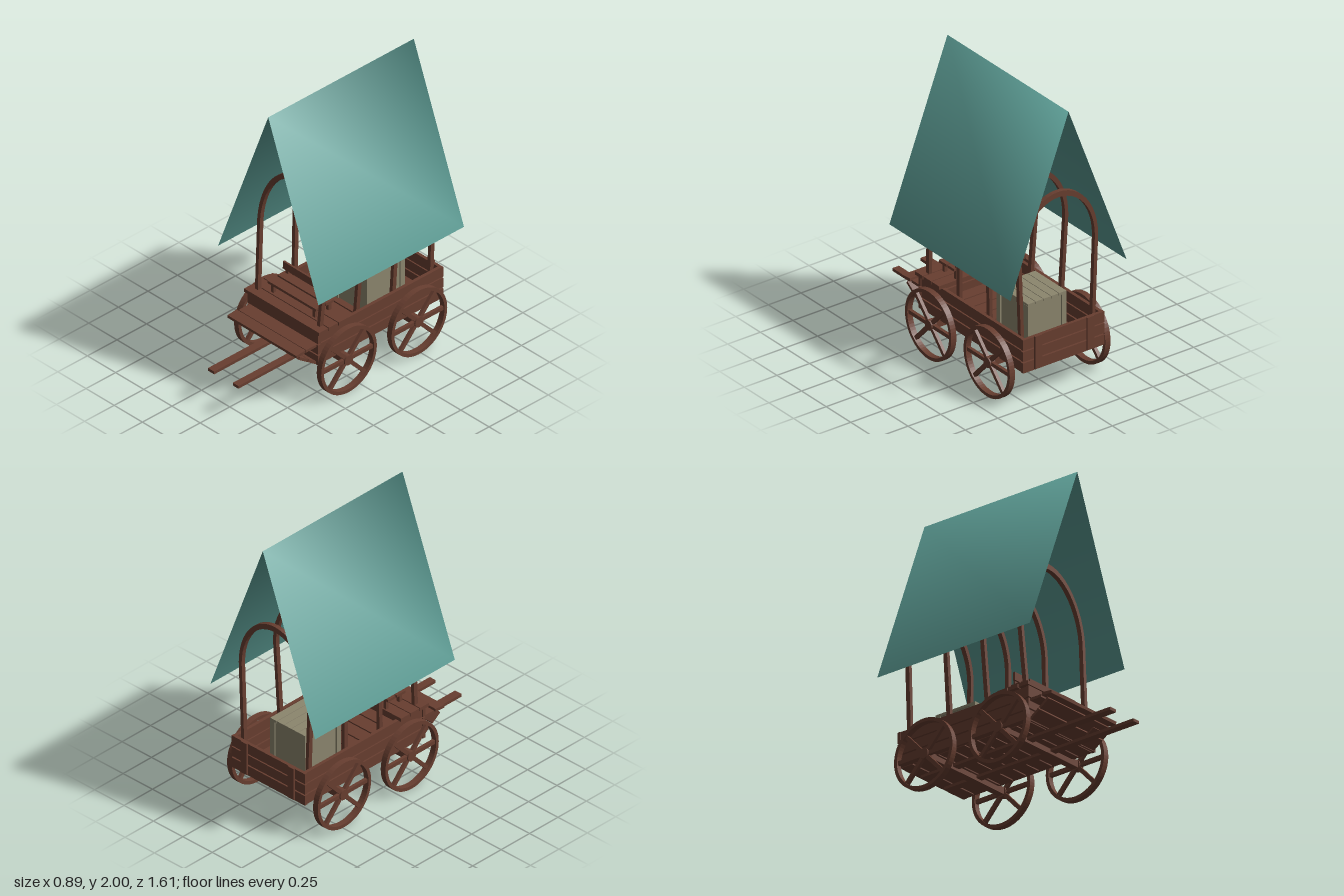
import * as THREE from 'three';

const wood = new THREE.MeshStandardMaterial({ color: 0x683e30 });
wood.name = 'brown wood';
const cloth = new THREE.MeshStandardMaterial({ color: 0x5c9c94, side: THREE.DoubleSide });
cloth.name = 'teal canvas';
const crateWood = new THREE.MeshStandardMaterial({ color: 0x8c866e });
crateWood.name = 'pale crate wood';

// Box given by its extents on each axis
function board(parent, name, [x0, x1], [y0, y1], [z0, z1], mat = wood) {
  const mesh = new THREE.Mesh(new THREE.BoxGeometry(x1 - x0, y1 - y0, z1 - z0), mat);
  mesh.position.set((x0 + x1) / 2, (y0 + y1) / 2, (z0 + z1) / 2);
  mesh.name = name;
  parent.add(mesh);
  return mesh;
}

// Rim, spokes and hub, turned so the axle runs along x
function makeWheel() {
  const wheel = new THREE.Group();
  wheel.name = 'wheel';
  const ring = new THREE.Shape().absarc(0, 0, 0.235, 0, Math.PI * 2, false);
  ring.holes.push(new THREE.Path().absarc(0, 0, 0.212, 0, Math.PI * 2, true));
  const rimGeo = new THREE.ExtrudeGeometry(ring, { depth: 0.04, bevelEnabled: false, curveSegments: 32 });
  rimGeo.translate(0, 0, -0.02).rotateY(Math.PI / 2);
  const rim = new THREE.Mesh(rimGeo, wood);
  rim.name = 'rim';
  wheel.add(rim);
  for (const deg of [0, 47, 133, 180, 227, 313]) {
    const geo = new THREE.BoxGeometry(0.022, 0.026, 0.2).translate(0, 0, 0.117);
    const spoke = new THREE.Mesh(geo, wood);
    spoke.rotation.x = THREE.MathUtils.degToRad(deg);
    spoke.name = 'spoke';
    wheel.add(spoke);
  }
  const hub = new THREE.Mesh(new THREE.CylinderGeometry(0.036, 0.036, 0.04, 12).rotateZ(Math.PI / 2), wood);
  hub.name = 'hub';
  wheel.add(hub);
  return wheel;
}

// Bent hoop, straight legs with an elliptical top
function makeBow(top) {
  const outline = (inset, crown) => {
    const pts = [[-0.278 + inset, 0.26]];
    for (let i = 0; i <= 24; i++) {
      const a = Math.PI * (1 - i / 24);
      pts.push([(0.306 - inset) * Math.cos(a), 1 + (crown - 1) * Math.sin(a)]);
    }
    pts.push([0.278 - inset, 0.26]);
    return pts.map(([x, y]) => new THREE.Vector2(x, y - 0.49));
  };
  const shape = new THREE.Shape([...outline(0, top), ...outline(0.025, top - 0.038).reverse()]);
  const geo = new THREE.ExtrudeGeometry(shape, { depth: 0.03, bevelEnabled: false });
  const bow = new THREE.Mesh(geo.translate(0, 0, -0.015), wood);
  bow.name = 'canopyBow';
  return bow;
}

function makeCanopy() {
  const geo = new THREE.BufferGeometry();
  const pos = [];
  for (const z of [0.425, -0.805]) pos.push(-0.445, 0.825, z, 0, 2, z, 0.445, 0.825, z);
  geo.setAttribute('position', new THREE.Float32BufferAttribute(pos, 3));
  geo.setIndex([0, 1, 4, 0, 4, 3, 1, 2, 5, 1, 5, 4]);
  geo.computeVertexNormals();
  const canopy = new THREE.Mesh(geo, cloth);
  canopy.name = 'canopy';
  return canopy;
}

export function createModel() {
  const wagon = new THREE.Group();
  wagon.name = 'coveredWagon';

  // Running gear
  for (const z of [0.11, -0.485]) {
    board(wagon, 'axle', [-0.35, 0.35], [0.215, 0.262], [z - 0.025, z + 0.025]);
    for (const side of [-1, 1]) {
      const wheel = makeWheel();
      wheel.position.set(side * 0.366, 0.239, z);
      wagon.add(wheel);
    }
  }
  board(wagon, 'shaft', [-0.135, -0.08], [0.232, 0.252], [-0.72, 0.805]);
  board(wagon, 'shaft', [0.085, 0.135], [0.232, 0.252], [-0.72, 0.805]);

  // Floor planks laid across the bed
  for (let i = 0; i < 10; i++) {
    const z = 0.29 - i * 0.105;
    board(wagon, 'floorPlank', [-0.29, 0.29], [0.25, 0.272], [z - 0.095, z]);
  }

  // Side, front and tail planks
  const rows = [[0.255, 0.325], [0.335, 0.403], [0.412, 0.485]];
  rows.forEach((y, i) => {
    const end = -0.745 - i * 0.006;
    for (const side of [-1, 1]) {
      const xs = [side * 0.285, side * 0.308].sort((a, b) => a - b);
      board(wagon, 'sidePlank', xs, y, [end, 0.3]);
    }
    board(wagon, 'tailPlank', [-0.312, 0.312], y, [-0.757, -0.735]);
    board(wagon, 'frontPlank', [-0.314, 0.314], y, [0.28, 0.303]);
  });
  for (const x of [-0.2, 0.2]) {
    board(wagon, 'tailBrace', [x - 0.027, x + 0.027], [0.262, 0.488], [-0.768, -0.757]);
  }

  // Driver's deck
  for (let i = 0; i < 3; i++) {
    const z = 0.312 - i * 0.083;
    board(wagon, 'deckPlank', [-0.333, 0.333], [0.486, 0.51], [z - 0.077, z]);
  }

  // Footboard with sloping planks beneath
  board(wagon, 'footboard', [-0.305, 0.305], [0.388, 0.408], [0.40, 0.478]).rotation.x = 0.08;
  board(wagon, 'footboard', [-0.3, 0.3], [0.386, 0.404], [0.3, 0.39]);
  for (const [y, z] of [[0.342, 0.41], [0.29, 0.335]]) {
    const plank = board(wagon, 'toePlank', [-0.297, 0.297], [y - 0.009, y + 0.009], [z - 0.042, z + 0.042]);
    plank.rotation.x = -0.61;
  }
  const brace = board(wagon, 'toeBrace', [0.155, 0.21], [0.296, 0.31], [0.32, 0.43]);
  brace.rotation.x = -0.61;

  // Bench
  board(wagon, 'benchPlank', [-0.215, 0.215], [0.572, 0.59], [0.075, 0.142]);
  board(wagon, 'benchPlank', [-0.215, 0.215], [0.57, 0.588], [0.152, 0.228]);
  for (const x of [-0.185, 0.185]) {
    for (const z of [0.09, 0.205]) {
      board(wagon, 'benchLeg', [x - 0.011, x + 0.011], [0.505, 0.575], [z - 0.011, z + 0.011]);
    }
    board(wagon, 'backrestPost', [x - 0.011, x + 0.011], [0.58, 0.65], [0.079, 0.091]);
  }
  board(wagon, 'backrest', [-0.21, 0.212], [0.618, 0.672], [0.088, 0.102]).rotation.z = -0.012;

  // Crate with slatted lid and corner battens
  const crate = new THREE.Group();
  crate.name = 'crate';
  board(crate, 'crateBody', [-0.138, 0.138], [0.272, 0.595], [-0.578, -0.28], crateWood);
  for (let i = 0; i < 5; i++) {
    const x = -0.148 + i * 0.0597;
    board(crate, 'crateSlat', [x, x + 0.056], [0.593, 0.61], [-0.588, -0.27], crateWood);
  }
  for (const x of [-0.13, 0.13]) {
    for (const z of [-0.57, -0.288]) {
      board(crate, 'crateBatten', [x - 0.018, x + 0.018], [0.272, 0.594], [z - 0.018, z + 0.018], crateWood);
    }
  }
  wagon.add(crate);

  // Hoops: z at the rail, backward lean, crown height
  for (const [z, lean, top] of [[0.25, 0.075, 1.45], [-0.06, 0.055, 1.43], [-0.367, 0.03, 1.413], [-0.685, 0, 1.395]]) {
    const bow = makeBow(top);
    bow.position.set(0, 0.49, z);
    bow.rotation.x = -lean;
    wagon.add(bow);
  }

  wagon.add(makeCanopy());
  return wagon;
}
